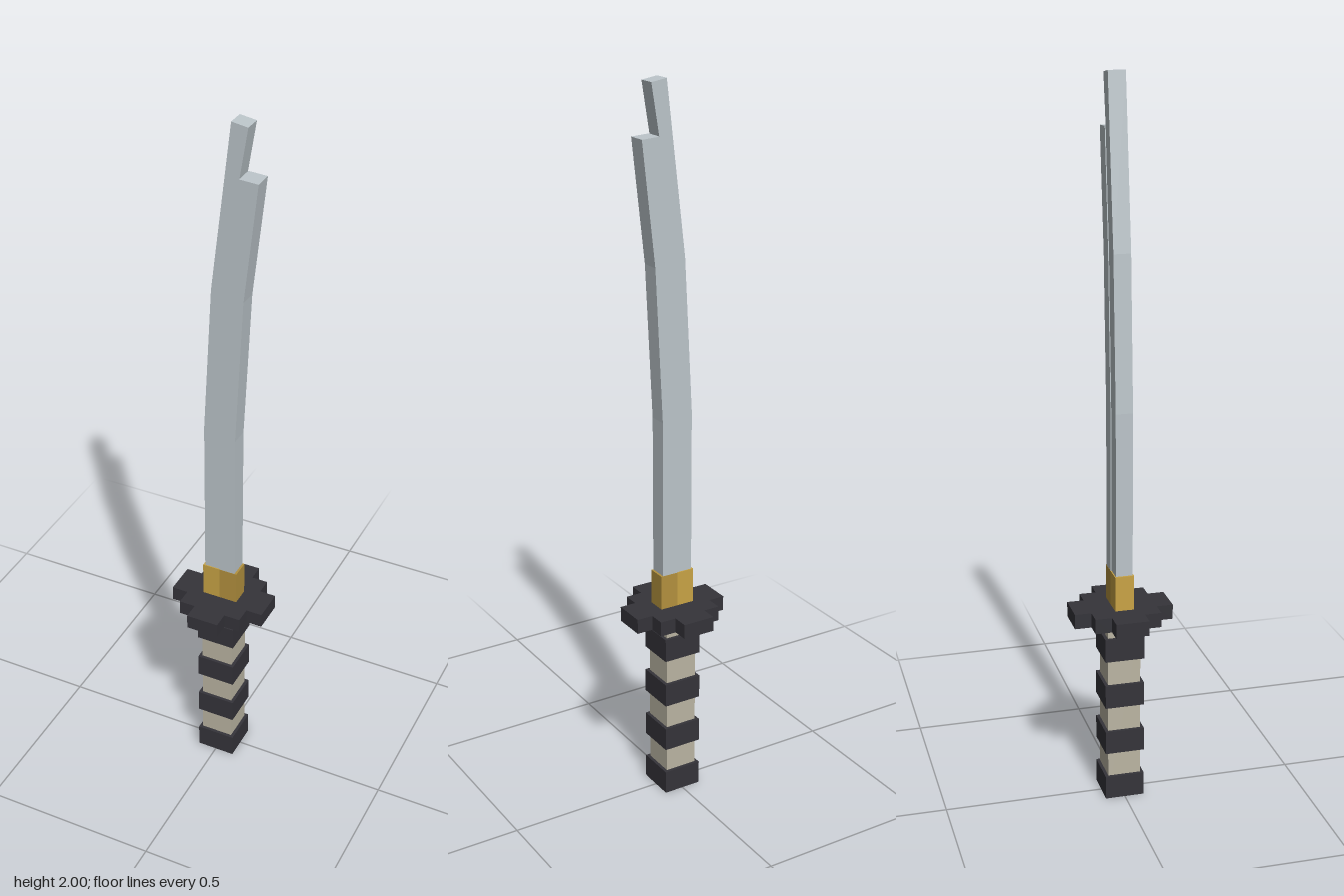
import * as THREE from 'three';

const mat = (name, color) => {
  const m = new THREE.MeshStandardMaterial({ color });
  m.name = name;
  return m;
};

export function createModel() {
  const steel = mat('steel', 0xbcc5ca);
  const gold = mat('gold', 0xc9a445);
  const darkGold = mat('darkGold', 0xb3913e);
  const cream = mat('cream', 0xbbb5a3);
  const black = mat('black', 0x35343a);

  const sword = new THREE.Group();
  sword.name = 'sword';

  const add = (name, geometry, material) => {
    const mesh = new THREE.Mesh(geometry, material);
    mesh.name = name;
    sword.add(mesh);
    return mesh;
  };
  // Box between two heights, centred on z
  const box = (name, x0, x1, y0, y1, depth, material) =>
    add(name, new THREE.BoxGeometry(x1 - x0, y1 - y0, depth), material)
      .position.set((x0 + x1) / 2, (y0 + y1) / 2, 0);
  // Outline extruded evenly about its own plane
  const plate = (points, depth) =>
    new THREE.ExtrudeGeometry(
      new THREE.Shape(points.map(([x, y]) => new THREE.Vector2(x, y))),
      { depth, bevelEnabled: false }
    ).translate(0, 0, -depth / 2);

  // Square grip with four raised bands, the lowest being the pommel
  box('grip', -0.046, 0.046, 0.02, 0.53, 0.092, cream);
  for (let i = 0; i < 4; i++) {
    const y = i * 0.14;
    box(i ? 'gripBand' : 'pommel', -0.055, 0.055, y, y + 0.067, 0.11, black);
  }

  // Stepped diamond guard: one quarter of the outline turned four times
  const s = 0.046;
  const outline = [];
  for (let q = 0; q < 4; q++) {
    const c = Math.round(Math.cos(q * Math.PI / 2));
    const n = Math.round(Math.sin(q * Math.PI / 2));
    for (const [x, y] of [[3, -1], [3, 1], [2, 1], [2, 2], [1, 2]]) {
      outline.push([s * (x * c - y * n), s * (x * n + y * c)]);
    }
  }
  add('guard', plate(outline, 0.042).rotateX(-Math.PI / 2), black).position.y = 0.547;

  // Two-tone collar
  box('collarSpineSide', -0.051, 0, 0.565, 0.667, 0.053, gold);
  box('collarEdgeSide', 0, 0.051, 0.565, 0.667, 0.053, darkGold);

  // Bent blade in two lengthwise halves; the spine half runs on to the tip
  const seam = [[0, 0.66], [0, 1.12], [0.02, 1.54], [0.052, 1.86]];
  const spine = [[0.03, 2], [-0.024, 1.545], [-0.046, 1.125], [-0.046, 0.66]];
  const edge = [[0.103, 1.857], [0.066, 1.53], [0.045, 1.11], [0.045, 0.66]];
  add('bladeSpine', plate([...seam, [0.074, 1.993], ...spine], 0.047), steel);
  add('bladeEdge', plate([...[...seam].reverse(), ...[...edge].reverse()], 0.052), steel);

  return sword;
}
